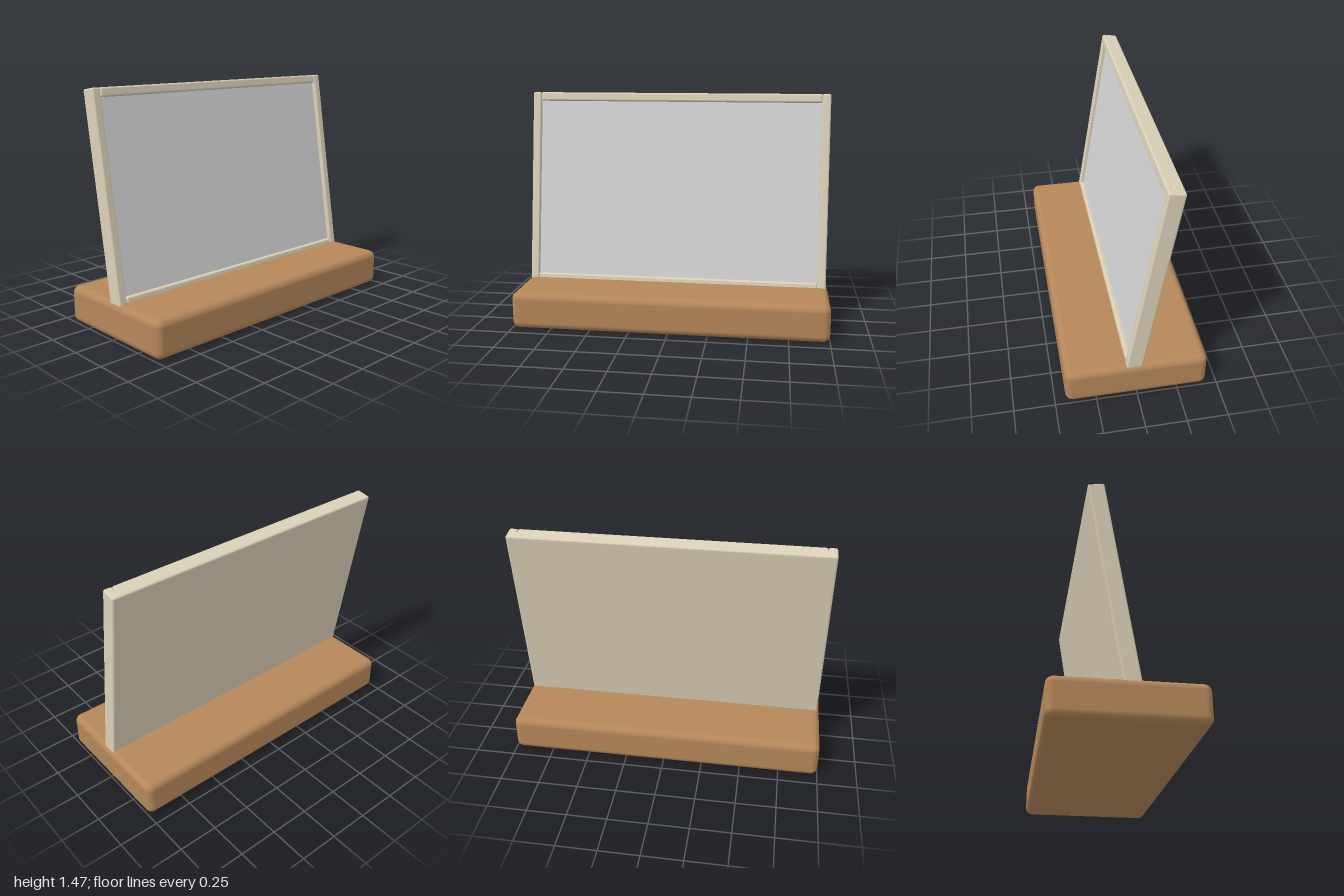
import * as THREE from 'three';
import { RoundedBoxGeometry } from 'three/addons/geometries/RoundedBoxGeometry.js';

export function createModel() {
  const wood = new THREE.MeshStandardMaterial({ name: 'brown wood', color: 0xb5875a });
  const cream = new THREE.MeshStandardMaterial({ name: 'cream frame', color: 0xdbd0b8 });
  const grey = new THREE.MeshStandardMaterial({ name: 'grey display', color: 0xd6d6d6 });

  // Rounded box given by its lower and upper corners
  function slab(name, min, max, radius, material, segments = 3) {
    const [w, h, d] = max.map((v, i) => v - min[i]);
    const mesh = new THREE.Mesh(new RoundedBoxGeometry(w, h, d, segments, radius), material);
    mesh.position.set(...max.map((v, i) => (v + min[i]) / 2));
    mesh.name = name;
    return mesh;
  }

  const model = new THREE.Group();
  model.name = 'displayStand';

  // Heavy base
  model.add(slab('base', [-1, 0, -0.435], [1, 0.235, 0.435], 0.045, wood, 5));

  // Leaning frame: local z = 0 is its front face, y = 0 lies just inside the base
  const frame = new THREE.Group();
  frame.name = 'leaningFrame';
  frame.position.set(0, 0.22, 0.067);
  frame.rotation.x = -0.158;
  model.add(frame);

  const halfW = 0.985, inner = 0.93, top = 1.265, bottom = -0.1, r = 0.012;
  frame.add(slab('backPanel', [-halfW, bottom, -0.1], [halfW, top, -0.032], r, cream));
  frame.add(slab('leftPost', [inner, bottom, -0.07], [halfW, top, 0], r, cream));
  frame.add(slab('rightPost', [-halfW, bottom, -0.07], [-inner, top, 0], r, cream));
  frame.add(slab('topRail', [-inner, top - 0.056, -0.07], [inner, top, 0], r, cream));
  frame.add(slab('bottomRail', [-inner, bottom, -0.07], [inner, 0.045, 0], r, cream));

  // Recessed display surface
  const display = new THREE.Mesh(new THREE.BoxGeometry(inner * 2 + 0.01, 1.2, 0.006), grey);
  display.name = 'displayPanel';
  display.position.set(0, 0.627, -0.031);
  frame.add(display);

  return model;
}
